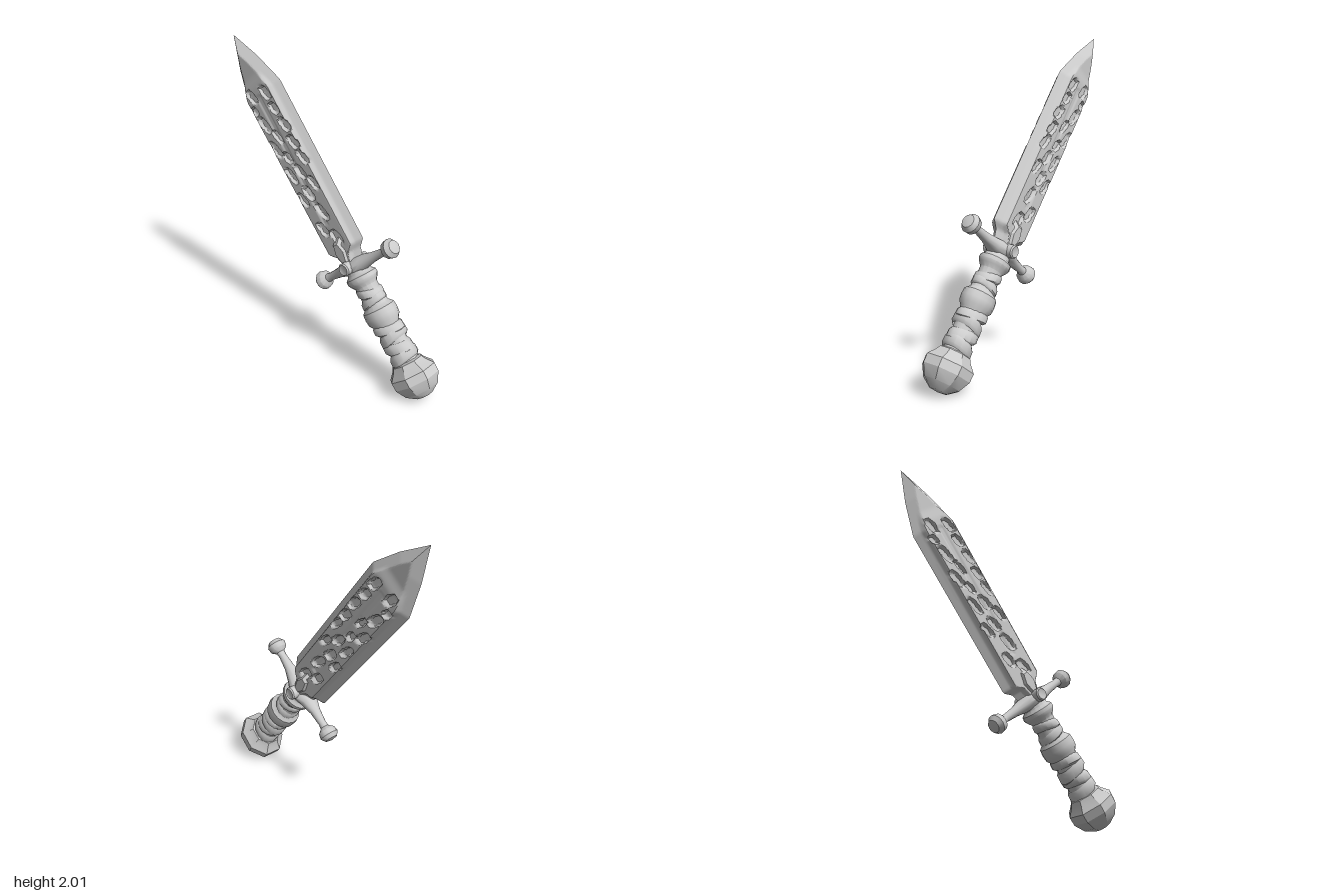
import * as THREE from 'three';
import { toCreasedNormals } from 'three/addons/utils/BufferGeometryUtils.js';

const steel = new THREE.MeshStandardMaterial({ color: 0xcccccc, side: THREE.DoubleSide });

function part(name, geometry, crease = 0.6) {
  const mesh = new THREE.Mesh(toCreasedNormals(geometry, crease), steel);
  mesh.name = name;
  return mesh;
}

// Turned part from [radius, height] pairs, listed from bottom to top
function turned(pairs, sides, phase = 0) {
  return new THREE.LatheGeometry(pairs.map(([r, h]) => new THREE.Vector2(r, h)), sides, phase);
}

// Linear interpolation through [position, value] pairs
function along(table, t) {
  for (let i = 1; i < table.length; i++) {
    const [a, va] = table[i - 1], [b, vb] = table[i];
    if (t <= b) return va + (vb - va) * Math.max(0, (t - a) / (b - a));
  }
  return table[table.length - 1][1];
}

// Blade outline: distance from the guard, half width
const OUTLINE = [[0, 0.09], [0.08, 0.12], [0.12, 0.176], [1.21, 0.185], [1.42, 0.104], [1.623, 0]];

// Carved hollows: distance along the blade, offset, half length, half width
const HOLLOWS = [
  [0.20, 0.03, 0.05, 0.035], [0.28, -0.05, 0.05, 0.03], [0.38, 0.02, 0.06, 0.03],
  [0.52, -0.01, 0.05, 0.03], [0.50, -0.085, 0.05, 0.025], [0.56, 0.075, 0.05, 0.025],
  [0.66, 0.015, 0.05, 0.03], [0.67, -0.075, 0.06, 0.025], [0.73, 0.095, 0.05, 0.025],
  [0.78, -0.03, 0.04, 0.025], [0.84, 0.085, 0.05, 0.03], [0.86, -0.09, 0.06, 0.028],
  [0.92, -0.02, 0.05, 0.02], [0.96, 0.09, 0.05, 0.03], [1.03, -0.075, 0.06, 0.03],
  [1.08, 0.075, 0.04, 0.03], [1.14, -0.1, 0.03, 0.025], [1.19, 0.07, 0.05, 0.03],
  [1.22, -0.06, 0.05, 0.03],
];

// Half thickness of the blade: sharp bevels, a raised field, hollows and a fuller
function thickness(u, v, w) {
  const d = w - Math.abs(v);
  let x = Math.min(0.046, d * 0.7);
  const field = THREE.MathUtils.smoothstep(d, 0.045, 0.065) * (1 - THREE.MathUtils.smoothstep(u, 1.24, 1.34));
  x += 0.014 * field;
  for (const [cu, cv, ru, rv] of HOLLOWS) {
    const q = Math.abs((u - cu) / ru) ** 3 + Math.abs((v - cv + (u - cu) * 0.25) / rv) ** 3;
    if (q < 1.3) x -= 0.02 * field * (1 - THREE.MathUtils.smoothstep(q, 0.5, 1.3));
  }
  if (u > 0.3 && u < 1.2) x -= 0.006 * (1 - THREE.MathUtils.smoothstep(Math.abs(v), 0.01, 0.025));
  return Math.max(0, x);
}

function bladeGeometry() {
  const rows = 140, cols = 44, pos = [], idx = [];
  for (const side of [1, -1]) {
    const base = pos.length / 3;
    for (let i = 0; i <= rows; i++) {
      const u = 1.623 * i / rows, w = along(OUTLINE, u);
      for (let j = 0; j <= cols; j++) {
        const v = w * (2 * j / cols - 1);
        pos.push(side * thickness(u, v, w), u, v);
      }
    }
    for (let i = 0; i < rows; i++) for (let j = 0; j < cols; j++) {
      const a = base + i * (cols + 1) + j, b = a + 1, c = a + cols + 1, d = c + 1;
      if (side > 0) idx.push(a, c, b, b, c, d);
      else idx.push(a, b, c, b, d, c);
    }
  }
  const g = new THREE.BufferGeometry();
  g.setAttribute('position', new THREE.Float32BufferAttribute(pos, 3));
  g.setIndex(idx);
  return g;
}

// Cloth band around the grip, tilted and slightly uneven
function band(y, radius, height, tilt) {
  const g = turned([[radius * 0.86, -height / 2], [radius, -height * 0.3], [radius * 0.98, height * 0.25], [radius * 0.84, height / 2]], 14);
  const p = g.attributes.position;
  for (let i = 0; i < p.count; i++) {
    const a = Math.atan2(p.getX(i), p.getZ(i));
    const k = 1 + 0.025 * Math.sin(3 * a + y * 40);
    p.setXYZ(i, p.getX(i) * k * 0.93, y + p.getY(i) + tilt * p.getZ(i), p.getZ(i) * k);
  }
  return part('gripWrap', g, 0.8);
}

export function createModel() {
  const model = new THREE.Group();
  const sword = new THREE.Group();
  sword.name = 'sword';
  model.add(sword);

  sword.add(part('blade', bladeGeometry()));

  // Pointed reinforcement on each face at the root of the blade
  for (const s of [1, -1]) {
    const boss = part('bladeRootPlate', new THREE.CylinderGeometry(0.045, 0.075, 0.04, 6));
    boss.rotation.z = -s * Math.PI / 2;
    boss.position.set(s * 0.056, 0.1, 0);
    boss.scale.set(1.5, 1, 0.8);
    sword.add(boss);
  }

  // Crossguard: a waisted bar with a faceted knob at each end
  const half = [[0.057, 0.03], [0.046, 0.09], [0.032, 0.17], [0.025, 0.26], [0.028, 0.29], [0.056, 0.315], [0.062, 0.35], [0.042, 0.378], [0, 0.388]];
  const bar = turned([...half.map(([r, h]) => [r, -h]).reverse(), ...half], 12).rotateX(Math.PI / 2);
  const p = bar.attributes.position;
  for (let i = 0; i < p.count; i++) {
    const flare = 1 + 0.55 * Math.max(0, 1 - Math.abs(p.getZ(i)) / 0.2);
    p.setX(i, p.getX(i) * flare);
  }
  const guard = part('crossguard', bar, 0.7);
  guard.position.y = -0.01;
  sword.add(guard);

  // Round studs on both sides of the guard
  for (const s of [1, -1]) {
    const stud = part('guardStud', turned([[0.042, 0], [0.042, 0.045], [0.034, 0.053], [0.028, 0.05], [0, 0.052]], 14));
    stud.rotation.z = -s * Math.PI / 2;
    stud.position.x = s * 0.06;
    sword.add(stud);
  }

  // Grip core with collars
  const grip = part('grip', turned([
    [0.085, -0.71], [0.08, -0.6], [0.082, -0.45], [0.092, -0.415], [0.112, -0.39], [0.117, -0.35], [0.113, -0.31],
    [0.085, -0.285], [0.076, -0.22], [0.078, -0.15], [0.098, -0.125], [0.11, -0.105], [0.108, -0.08], [0.085, -0.06], [0.07, 0.02],
  ], 16), 0.7);
  grip.scale.x = 0.88;
  sword.add(grip);
  [[-0.645, 0.1, 0.08, 0.25], [-0.575, 0.096, 0.075, -0.2], [-0.505, 0.1, 0.08, 0.3], [-0.445, 0.101, 0.065, -0.15],
    [-0.255, 0.09, 0.06, 0.2], [-0.195, 0.087, 0.06, -0.25]].forEach((b) => sword.add(band(...b)));

  // Eight-sided pommel
  const pommel = part('pommel', turned([
    [0, -0.925], [0.06, -0.918], [0.125, -0.875], [0.166, -0.81], [0.168, -0.755], [0.125, -0.71], [0.11, -0.685], [0.085, -0.675],
  ], 8, Math.PI / 8), 0.45);
  pommel.scale.x = 0.9;
  sword.add(pommel);

  // The whole weapon leans back, tip high and behind
  sword.rotation.x = -Math.atan2(0.63, 0.776);
  sword.position.set(0, 0.745, 0.21);
  return model;
}
